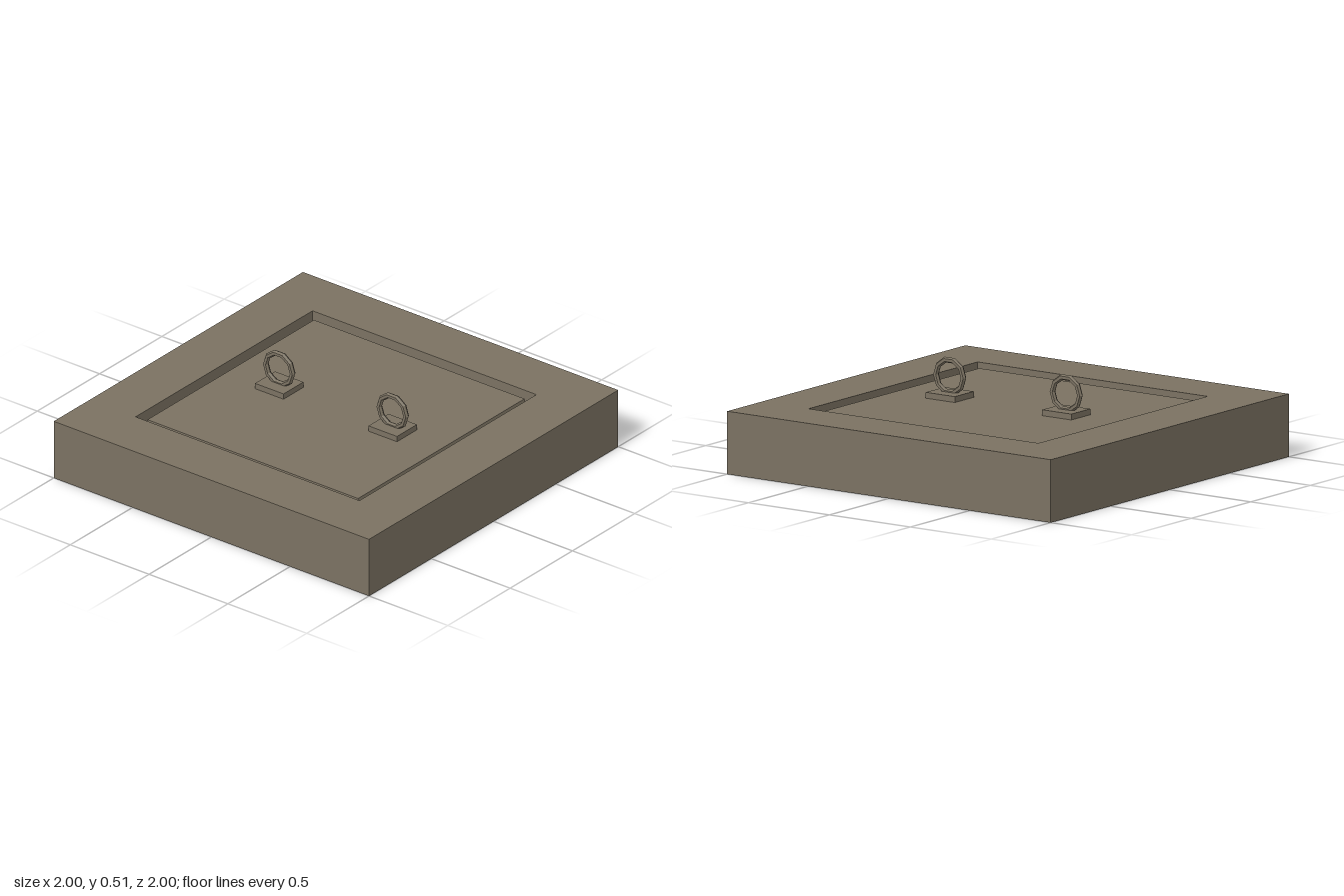
import * as THREE from 'three';

export function createModel() {
  const model = new THREE.Group();
  const stone = new THREE.MeshStandardMaterial({ color: 0x7b7262, flatShading: true });
  stone.name = 'stone';

  const add = (parent, name, geometry, x, y, z) => {
    const mesh = new THREE.Mesh(geometry, stone);
    mesh.name = name;
    mesh.position.set(x, y, z);
    parent.add(mesh);
    return mesh;
  };

  // Square outline, centred on the origin
  const square = (Type, h) => new Type([[-h, -h], [h, -h], [h, h], [-h, h]]
    .map(([x, y]) => new THREE.Vector2(x, y)));

  // Surround: thick square slab with a square opening right through it
  const outline = square(THREE.Shape, 1);
  outline.holes.push(square(THREE.Path, 0.71));
  const frameGeometry = new THREE.ExtrudeGeometry(outline, { depth: 0.32, bevelEnabled: false });
  frameGeometry.rotateX(-Math.PI / 2);
  add(model, 'frame', frameGeometry, 0, 0, 0);

  // Lid: slightly tapered square block, with a narrow gap all round
  const lidBottom = 0.09, lidTop = 0.3;
  const lidGeometry = new THREE.CylinderGeometry(
    0.668 * Math.SQRT2, 0.694 * Math.SQRT2, lidTop - lidBottom, 4);
  lidGeometry.rotateY(Math.PI / 4);
  add(model, 'lid', lidGeometry, 0, (lidTop + lidBottom) / 2, 0);

  // Two lifting rings, each on its own plate
  for (const side of [-1, 1]) {
    const handle = new THREE.Group();
    handle.name = side > 0 ? 'leftHandle' : 'rightHandle';
    handle.position.x = side * 0.36;
    add(handle, 'handlePlate', new THREE.BoxGeometry(0.18, 0.032, 0.16), 0, 0.314, 0);
    add(handle, 'handleRing', new THREE.TorusGeometry(0.085, 0.015, 6, 10), 0, 0.41, 0);
    model.add(handle);
  }

  return model;
}
